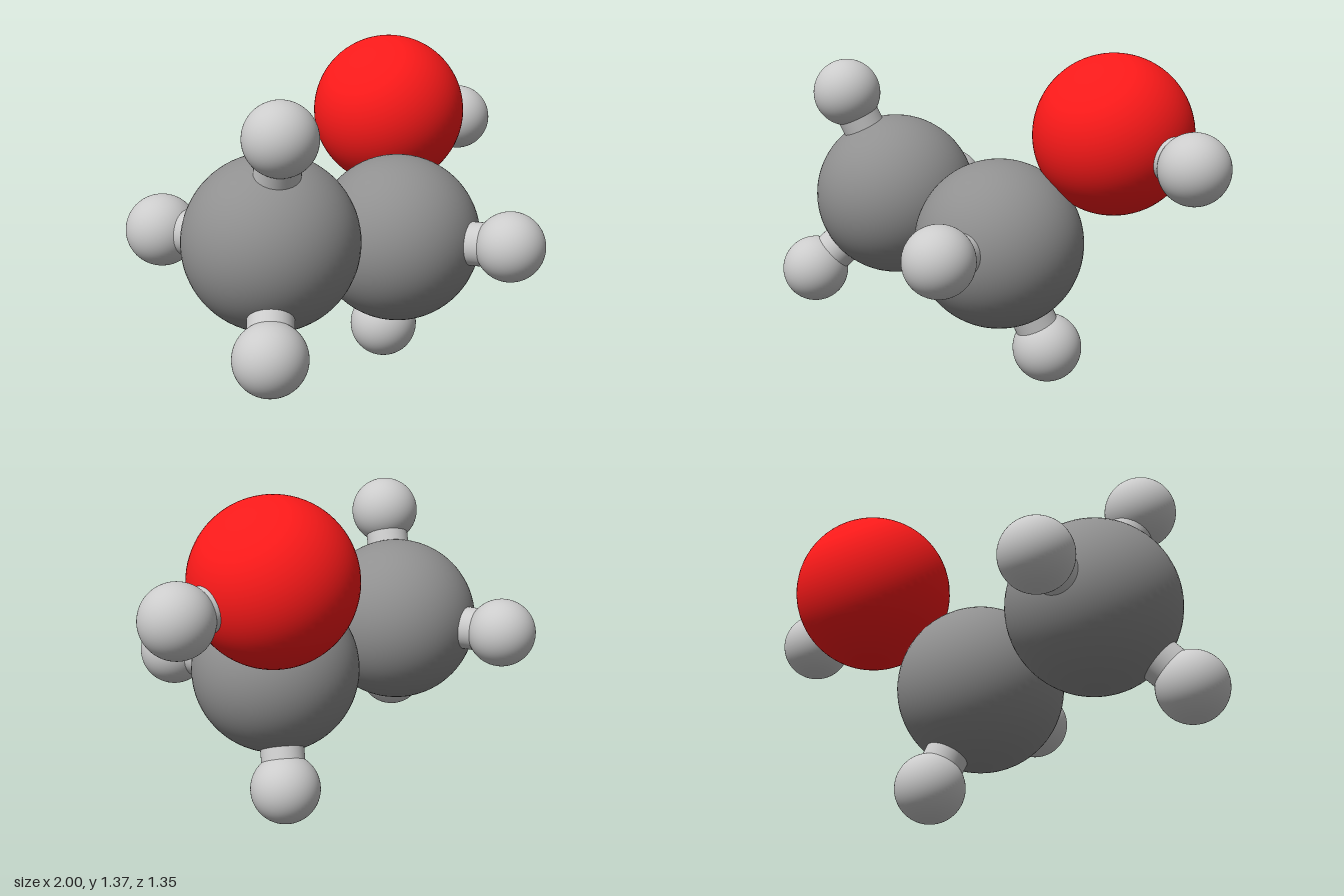
import * as THREE from 'three';

const ELEMENTS = {
  hydrogen: { radius: 0.143, color: 0xcccccc },
  carbon: { radius: 0.346, color: 0x909090 },
  oxygen: { radius: 0.327, color: 0xff1a1a },
};
const BOND_RADIUS = 0.09;

// name: [element, x, y, z]
const ATOMS = {
  methylCarbon: ['carbon', -0.583, 0.717, -0.05],
  middleCarbon: ['carbon', 0.087, 0.597, 0.045],
  oxygen: ['oxygen', 0.427, 1.042, -0.265],
  hydroxylHydrogen: ['hydrogen', 0.855, 0.95, -0.196],
  middleHydrogenFront: ['hydrogen', 0.199, 0.62, 0.532],
  middleHydrogenLower: ['hydrogen', 0.208, 0.146, -0.122],
  methylHydrogenUpper: ['hydrogen', -0.706, 1.167, 0.119],
  methylHydrogenLower: ['hydrogen', -0.857, 0.38, 0.186],
  methylHydrogenBack: ['hydrogen', -0.695, 0.706, -0.532],
};

const BONDS = [
  ['methylCarbon', 'middleCarbon'],
  ['middleCarbon', 'oxygen'],
  ['oxygen', 'hydroxylHydrogen'],
  ['middleCarbon', 'middleHydrogenFront'],
  ['middleCarbon', 'middleHydrogenLower'],
  ['methylCarbon', 'methylHydrogenUpper'],
  ['methylCarbon', 'methylHydrogenLower'],
  ['methylCarbon', 'methylHydrogenBack'],
];

export function createModel() {
  const model = new THREE.Group();
  model.name = 'molecule';

  const materials = {};
  const spheres = {};
  for (const [element, { radius, color }] of Object.entries(ELEMENTS)) {
    materials[element] = new THREE.MeshStandardMaterial({ color });
    spheres[element] = new THREE.SphereGeometry(radius, 64, 40);
  }

  // Atoms
  const centre = {};
  for (const [name, [element, x, y, z]] of Object.entries(ATOMS)) {
    const atom = new THREE.Mesh(spheres[element], materials[element]);
    atom.name = name;
    atom.position.set(x, y, z);
    centre[name] = atom.position;
    model.add(atom);
  }

  // Half of a bond, from an atom to the middle, in that atom's colour
  const up = new THREE.Vector3(0, 1, 0);
  function halfBond(from, to) {
    const axis = centre[to].clone().sub(centre[from]);
    const length = axis.length() / 2;
    const geometry = new THREE.CylinderGeometry(BOND_RADIUS, BOND_RADIUS, length, 40, 1, true);
    const half = new THREE.Mesh(geometry, materials[ATOMS[from][0]]);
    half.name = `${from}BondHalf`;
    half.position.copy(centre[from]).addScaledVector(axis, 0.25);
    half.quaternion.setFromUnitVectors(up, axis.normalize());
    return half;
  }

  // Bonds
  for (const [a, b] of BONDS) {
    const bond = new THREE.Group();
    bond.name = `bond ${a} to ${b}`;
    bond.add(halfBond(a, b), halfBond(b, a));
    model.add(bond);
  }
  return model;
}
